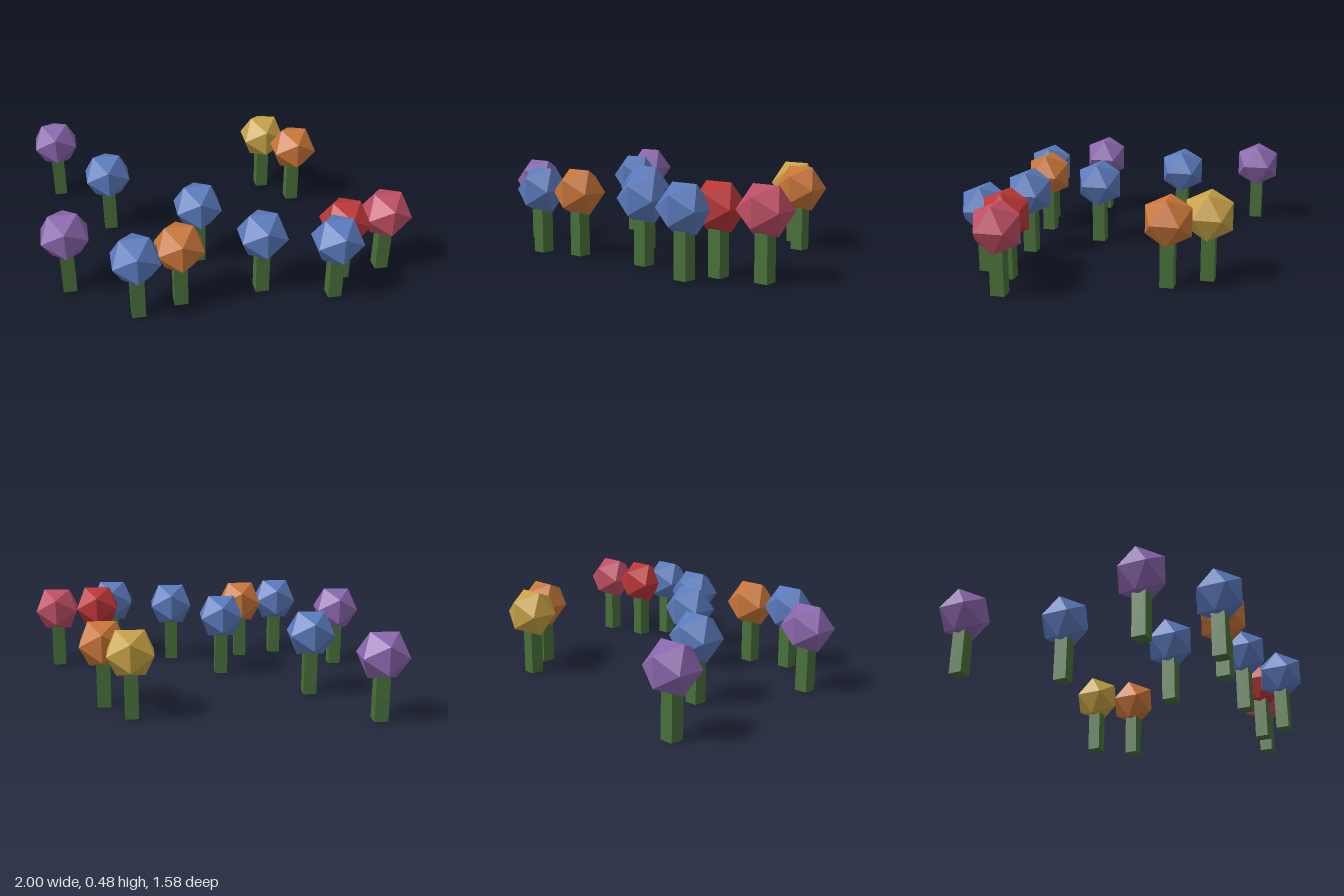
import * as THREE from 'three';

const mat = (name, color) => {
  const m = new THREE.MeshStandardMaterial({ color, flatShading: true });
  m.name = name;
  return m;
};

export function createModel() {
  const group = new THREE.Group();
  group.name = 'flowerPatch';

  const stemGreen = mat('stemGreen', 0x48703a);
  const colours = {
    purple: mat('purple', 0x8a66ac),
    blue: mat('blue', 0x5a7abc),
    orange: mat('orange', 0xc87538),
    red: mat('red', 0xbc3636),
    pink: mat('pink', 0xbe4e64),
    yellow: mat('yellow', 0xc6a246),
  };

  // Shared shapes: square stem standing on the ground, faceted bloom
  const stemHeight = 0.25;
  const stemGeo = new THREE.BoxGeometry(0.074, stemHeight, 0.074).translate(0, stemHeight / 2, 0);
  const bloomGeo = new THREE.IcosahedronGeometry(0.1445, 0).translate(0, 0.353, 0);

  // Colour, x and z of each flower
  const flowers = [
    ['purple', -0.877, -0.665],
    ['purple', -0.862, 0.361],
    ['blue', -0.591, -0.214],
    ['blue', -0.126, 0.209],
    ['blue', -0.518, 0.641],
    ['orange', -0.284, 0.579],
    ['blue', 0.165, 0.546],
    ['blue', 0.539, 0.665],
    ['red', 0.629, 0.511],
    ['pink', 0.875, 0.465],
    ['yellow', 0.416, -0.53],
    ['orange', 0.566, -0.34],
  ];

  for (const [colour, x, z] of flowers) {
    const flower = new THREE.Group();
    flower.name = colour + 'Flower';
    const stem = new THREE.Mesh(stemGeo, stemGreen);
    stem.name = 'stem';
    const bloom = new THREE.Mesh(bloomGeo, colours[colour]);
    bloom.name = 'bloom';
    flower.add(stem, bloom);
    flower.position.set(x, 0, z);
    group.add(flower);
  }
  return group;
}
